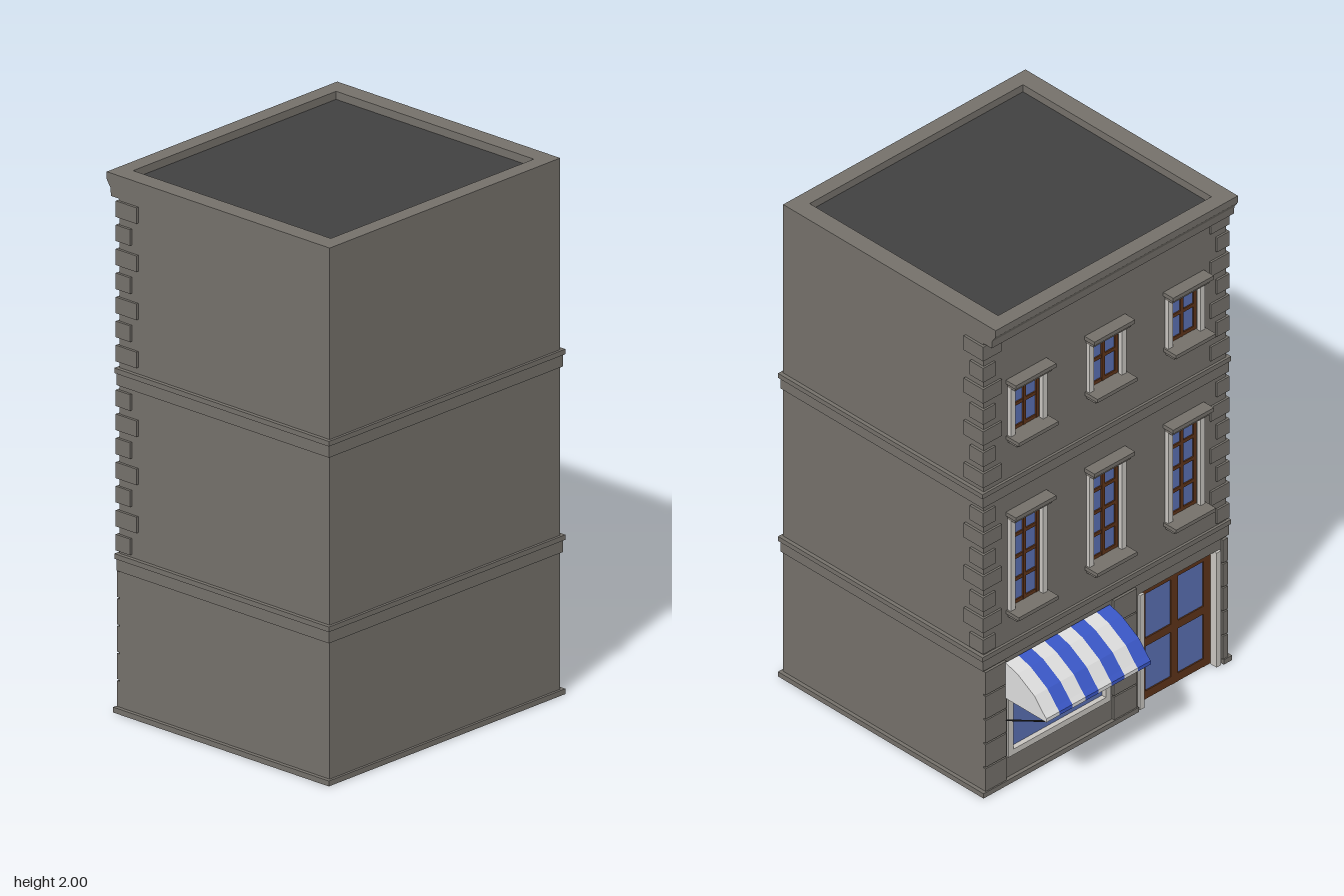
import * as THREE from 'three';

const mat = (name, color, extra = {}) => Object.assign(new THREE.MeshStandardMaterial({ color, ...extra }), { name });

export function createModel() {
  const stone = mat('stone', 0x74706a);
  const roofing = mat('roofing', 0x404040);
  const trim = mat('light trim', 0xc8c5c0);
  const wood = mat('brown wood', 0x5e3419);
  const glass = mat('blue glass', 0x5a70b4);
  const white = mat('white canvas', 0xdcdcdc, { side: THREE.DoubleSide });
  const blue = mat('blue canvas', 0x3a57c6, { side: THREE.DoubleSide });
  const iron = mat('dark iron', 0x2a2a2c);

  const model = new THREE.Group();
  model.name = 'shopBuilding';

  // Box given by its limits along x, y and z
  const box = (name, m, x0, x1, y0, y1, z0, z1, parent = model) => {
    const mesh = new THREE.Mesh(new THREE.BoxGeometry(x1 - x0, y1 - y0, z1 - z0), m);
    mesh.position.set((x0 + x1) / 2, (y0 + y1) / 2, (z0 + z1) / 2);
    mesh.name = name;
    parent.add(mesh);
    return mesh;
  };
  const group = (name) => {
    const g = new THREE.Group();
    g.name = name;
    model.add(g);
    return g;
  };

  // Main openings of the street wall, which faces -x: [z0, z1, y0, y1]
  const W = 0.07;
  const floors = [{ y0: 0.73, y1: 1.12, rows: 4 }, { y0: 1.47, y1: 1.68, rows: 2 }];
  const columns = [-0.38, 0, 0.38];
  const shop = [-0.46, 0.01, 0.12, 0.46];
  const door = [0.17, 0.54, 0.0, 0.485];

  // Street wall, cut by windows, shop window and door
  const rect = (Type, z0, z1, y0, y1) => {
    const p = new Type();
    p.moveTo(z0, y0).lineTo(z1, y0).lineTo(z1, y1).lineTo(z0, y1).closePath();
    return p;
  };
  const wall = new THREE.Shape();
  [[-0.585, 0], [door[0], 0], [door[0], door[3]], [door[1], door[3]], [door[1], 0], [0.585, 0], [0.585, 1.965], [-0.585, 1.965]]
    .forEach(([z, y], i) => (i ? wall.lineTo(z, y) : wall.moveTo(z, y)));
  wall.closePath();
  wall.holes.push(rect(THREE.Path, ...shop));
  for (const f of floors) for (const z of columns) wall.holes.push(rect(THREE.Path, z - W, z + W, f.y0, f.y1));
  const facade = new THREE.Mesh(new THREE.ExtrudeGeometry(wall, { depth: 0.03, bevelEnabled: false }), stone);
  facade.rotation.y = -Math.PI / 2;
  facade.position.x = -0.37;
  facade.name = 'streetWall';
  model.add(facade);

  // Upper storeys, hollow ground floor and its ceiling
  box('upperStoreys', stone, -0.37, 0.6, 0.5, 1.965, -0.585, 0.585);
  box('groundBackWall', stone, 0.59, 0.6, 0, 0.5, -0.585, 0.585);
  for (const s of [-1, 1]) {
    box('groundSideWall', stone, -0.37, 0.59, 0, 0.5, Math.min(s * 0.585, s * 0.575), Math.max(s * 0.585, s * 0.575));
    box('parapetSide', stone, -0.4, 0.6, 1.965, 2, s > 0 ? 0.515 : -0.585, s > 0 ? 0.585 : -0.515);
  }
  box('ceiling', roofing, -0.37, 0.59, 0.494, 0.5, -0.575, 0.575);

  // Roof, parapet and street cornice
  box('roof', roofing, -0.4, 0.54, 1.962, 1.97, -0.515, 0.515);
  box('parapetBack', stone, 0.54, 0.6, 1.965, 2, -0.515, 0.515);
  const profile = new THREE.Shape([[-0.4, 1.915], [-0.44, 1.915], [-0.442, 1.945], [-0.46, 1.972], [-0.46, 2], [-0.4, 2]]
    .map(([x, y]) => new THREE.Vector2(x, y)));
  const cornice = new THREE.Mesh(new THREE.ExtrudeGeometry(profile, { depth: 1.17, bevelEnabled: false }), stone);
  cornice.position.z = -0.585;
  cornice.name = 'cornice';
  model.add(cornice);

  // Bands between storeys
  for (const y of [0.53, 1.222]) {
    box('bandLower', stone, -0.405, 0.605, y, y + 0.045, -0.594, 0.594);
    box('bandUpper', stone, -0.41, 0.61, y + 0.045, y + 0.064, -0.6, 0.6);
  }

  // Plinth, open at the door
  const plinth = group('plinth');
  box('plinthBack', stone, 0.6, 0.61, 0, 0.02, -0.6, 0.6, plinth);
  box('plinthLeft', stone, -0.415, 0.6, 0, 0.02, 0.585, 0.6, plinth);
  box('plinthRight', stone, -0.415, 0.6, 0, 0.02, -0.6, -0.585, plinth);
  box('plinthStreet', stone, -0.415, -0.4, 0, 0.02, -0.585, 0.15, plinth);
  box('plinthStreetEnd', stone, -0.415, -0.4, 0, 0.02, 0.56, 0.585, plinth);

  // Corner stones of alternating length
  const quoins = group('quoins');
  for (const [start, first] of [[0.605, 0], [1.31, 1]])
    for (let i = 0; i < 7; i++) {
      const len = (i + first) % 2 ? 0.09 : 0.06;
      const y = start + i * 0.0897;
      for (const s of [-1, 1]) {
        const z0 = s > 0 ? 0.595 - len : -0.595;
        box('quoin', stone, -0.408, -0.4 + len, y, y + 0.06, z0, z0 + len, quoins);
      }
    }

  // Ground floor piers in stacked courses
  const piers = group('piers');
  for (const [z0, z1] of [[-0.585, -0.485], [0.035, 0.145], [0.562, 0.585]])
    for (let i = 0; i < 5; i++) box('pierCourse', stone, -0.41, -0.399, 0.02 + i * 0.102, 0.116 + i * 0.102, z0, z1, piers);

  // Glazing with a grid of bars
  const glazing = (name, x, z0, z1, y0, y1, cols, rows, bar) => {
    const g = group(name);
    box('glass', glass, x - 0.003, x + 0.003, y0, y1, z0, z1, g);
    for (let i = 0; i <= cols; i++) {
      const z = z0 + bar / 2 + ((z1 - z0 - bar) * i) / cols;
      box('upright', wood, x - 0.009, x + 0.009, y0, y1, z - bar / 2, z + bar / 2, g);
    }
    for (let j = 0; j <= rows; j++) {
      const y = y0 + bar / 2 + ((y1 - y0 - bar) * j) / rows;
      box('crossbar', wood, x - 0.008, x + 0.008, y - bar / 2, y + bar / 2, z0, z1, g);
    }
    return g;
  };

  // Upper windows with jambs, sill and hood
  for (const f of floors)
    for (const z of columns) {
      const g = glazing('window', -0.384, z - W, z + W, f.y0, f.y1, 2, f.rows, 0.014);
      for (const s of [-1, 1]) box('jamb', trim, -0.416, -0.398, f.y0, f.y1, z + s * 0.078 - 0.011, z + s * 0.078 + 0.011, g);
      box('sill', stone, -0.463, -0.395, f.y0 - 0.015, f.y0, z - 0.096, z + 0.096, g);
      box('sillBase', stone, -0.445, -0.395, f.y0 - 0.03, f.y0 - 0.015, z - 0.088, z + 0.088, g);
      box('hoodBase', stone, -0.437, -0.395, f.y1 - 0.005, f.y1 + 0.012, z - 0.09, z + 0.09, g);
      box('hood', stone, -0.45, -0.395, f.y1 + 0.012, f.y1 + 0.028, z - 0.098, z + 0.098, g);
    }

  // Shop window in a light frame
  const shopWindow = group('shopWindow');
  const [s0, s1, sy0, sy1] = shop;
  box('glass', glass, -0.388, -0.382, sy0, sy1, s0, s1, shopWindow);
  box('frameBottom', trim, -0.408, -0.366, sy0 - 0.012, sy0 + 0.012, s0 - 0.012, s1 + 0.012, shopWindow);
  box('frameTop', trim, -0.408, -0.366, sy1 - 0.012, sy1 + 0.012, s0 - 0.012, s1 + 0.012, shopWindow);
  for (const z of [s0, s1]) box('frameSide', trim, -0.408, -0.366, sy0, sy1, z - 0.012, z + 0.012, shopWindow);

  // Double door and its light jambs
  glazing('doubleDoor', -0.372, door[0] + 0.01, door[1] - 0.01, 0.005, door[3], 2, 2, 0.034);
  for (const z of [door[0], door[1]]) box('doorJamb', trim, -0.41, -0.36, 0, door[3], z - 0.01, z + 0.012);

  // Striped awning: a bent strip per stripe, closed ends and two arms
  const awning = group('awning');
  const curve = [[-0.41, 0.52], [-0.47, 0.503], [-0.555, 0.452], [-0.6, 0.4], [-0.615, 0.385], [-0.615, 0.37]];
  const zStart = -0.49, step = 0.063;
  for (let i = 0; i < 8; i++) {
    let geo = new THREE.PlaneGeometry(1, 1, curve.length - 1, 1);
    const p = geo.attributes.position;
    for (let v = 0; v < p.count; v++) {
      const [x, y] = curve[v % curve.length];
      p.setXYZ(v, x, y, zStart + (i + (v < curve.length ? 1 : 0)) * step);
    }
    geo = geo.toNonIndexed();
    // face the strip outwards
    const q = geo.attributes.position;
    const a = new THREE.Vector3().fromBufferAttribute(q, 0), b = new THREE.Vector3().fromBufferAttribute(q, 1), c = new THREE.Vector3().fromBufferAttribute(q, 2);
    if (b.sub(a).cross(c.sub(a)).y < 0)
      for (let t = 0; t < q.count; t += 3) {
        const m = [q.getX(t + 1), q.getY(t + 1), q.getZ(t + 1)];
        q.setXYZ(t + 1, q.getX(t + 2), q.getY(t + 2), q.getZ(t + 2));
        q.setXYZ(t + 2, ...m);
      }
    geo.computeVertexNormals();
    const stripe = new THREE.Mesh(geo, i % 2 ? blue : white);
    stripe.name = 'stripe';
    awning.add(stripe);
  }
  const endShape = new THREE.Shape([...curve, [-0.41, 0.37]].map(([x, y]) => new THREE.Vector2(x, y)));
  for (const [z, m] of [[zStart, white], [zStart + 8 * step, blue]]) {
    const end = new THREE.Mesh(new THREE.ShapeGeometry(endShape), m);
    end.position.z = z;
    end.name = 'awningEnd';
    awning.add(end);
    const path = new THREE.LineCurve3(new THREE.Vector3(-0.612, 0.371, 0), new THREE.Vector3(-0.4, 0.268, 0));
    const arm = new THREE.Mesh(new THREE.TubeGeometry(path, 1, 0.003, 6), iron);
    arm.position.z = z + (z < -0.2 ? 0.006 : -0.006);
    arm.name = 'awningArm';
    awning.add(arm);
  }
  return model;
}
